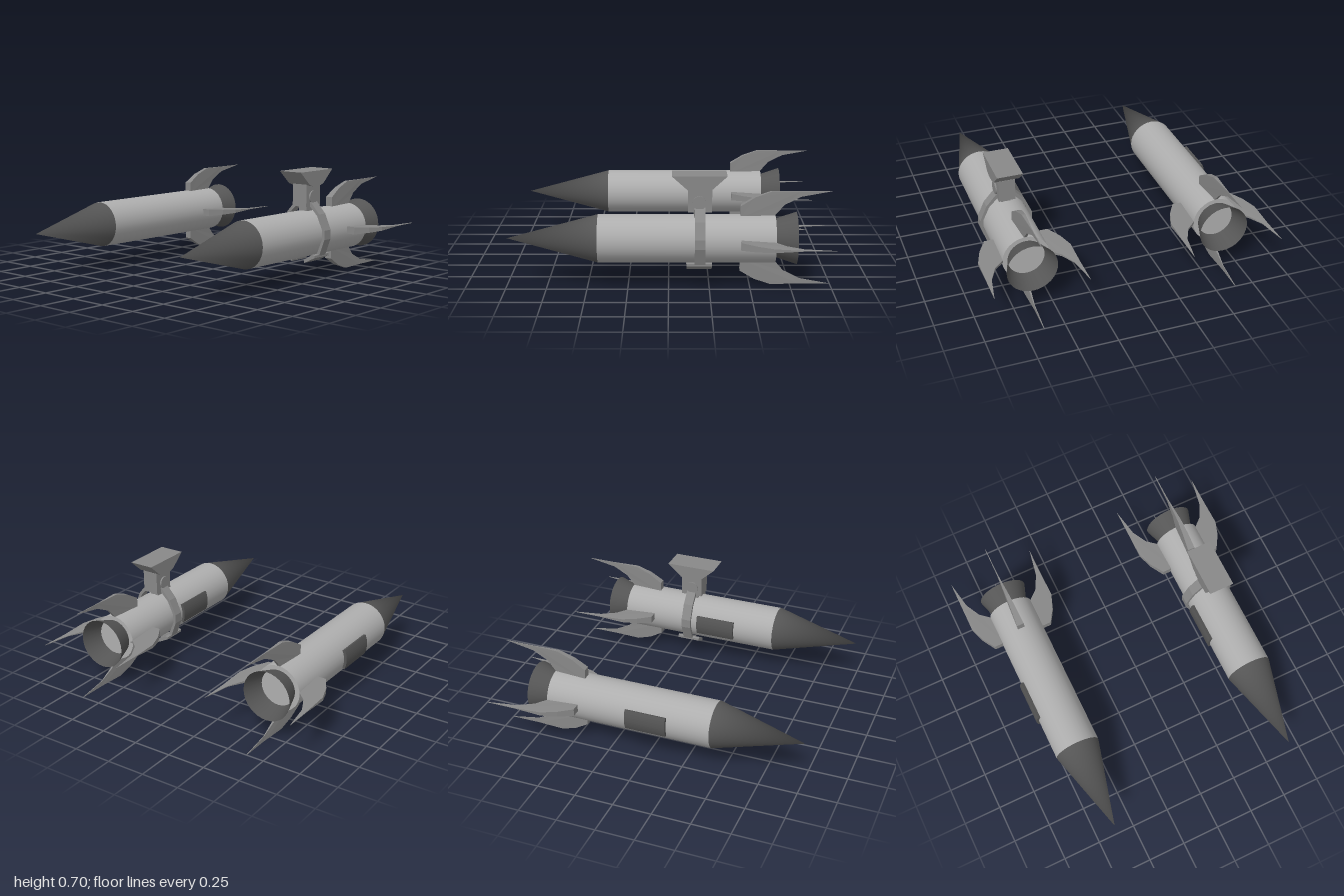
import * as THREE from 'three';

function material(color, flatShading = false) {
  return new THREE.MeshStandardMaterial({ color, side: THREE.DoubleSide, flatShading });
}
const shell = material(0xaeaeae);
const dark = material(0x555555);
const darkFlat = material(0x555555, true);
const metal = material(0x888888);
const metalFlat = material(0x888888, true);

function add(parent, name, geometry, mat) {
  const mesh = new THREE.Mesh(geometry, mat);
  mesh.name = name;
  parent.add(mesh);
  return mesh;
}

// Cylinder lying along z, from z0 (radius r0) forward to z1 (radius r1)
function tubeZ(r0, r1, z0, z1, open = false) {
  return new THREE.CylinderGeometry(r1, r0, z1 - z0, 32, 1, open)
    .rotateX(Math.PI / 2).translate(0, 0, (z0 + z1) / 2);
}

// Cone whose shading rounds off to face forward at the tip
function noseGeometry() {
  const g = tubeZ(0.15, 0, 0.435, 1, true);
  const { position, normal } = g.attributes;
  for (let i = 0; i < position.count; i++) {
    if (position.getZ(i) > 0.99) normal.setXYZ(i, 0, 0, 1);
  }
  return g;
}

// Outline in x/y, extruded from z0 to z1
function slab(points, z0, z1) {
  const shape = new THREE.Shape(points.map(([x, y]) => new THREE.Vector2(x, y)));
  return new THREE.ExtrudeGeometry(shape, { depth: z1 - z0, bevelEnabled: false }).translate(0, 0, z0);
}

// Swept-back fin standing on +y, thinning towards its trailing tip
function finGeometry() {
  const outline = [[-0.44, 0.13], [-0.44, 0.205], [-0.53, 0.26], [-0.63, 0.295], [-0.81, 0.295],
    [-1, 0.295], [-0.81, 0.26], [-0.71, 0.21], [-0.655, 0.148], [-0.655, 0.13]];
  const g = slab(outline, -1, 1);
  const p = g.attributes.position;
  for (let i = 0; i < p.count; i++) {
    const z = p.getX(i);
    const half = Math.max(0.002, 0.024 * (z + 0.81) / 0.37);
    p.setXYZ(i, p.getZ(i) * half, p.getY(i), z);
  }
  // swapping x and z mirrors the solid, so turn the triangles round
  for (let i = 0; i < p.count; i += 3) {
    const a = new THREE.Vector3().fromBufferAttribute(p, i);
    const b = new THREE.Vector3().fromBufferAttribute(p, i + 1);
    p.setXYZ(i, b.x, b.y, b.z);
    p.setXYZ(i + 1, a.x, a.y, a.z);
  }
  g.computeVertexNormals();
  return g;
}

// Curved cover plate hugging the -x flank
function panelGeometry() {
  const shape = new THREE.Shape();
  shape.absarc(0, 0, 0.168, Math.PI - 0.42, Math.PI + 0.42, false);
  shape.absarc(0, 0, 0.143, Math.PI + 0.42, Math.PI - 0.42, true);
  return new THREE.ExtrudeGeometry(shape, { depth: 0.27, bevelEnabled: false, curveSegments: 6 })
    .translate(0, 0, -0.115);
}

function makeRocket() {
  const rocket = new THREE.Group();
  rocket.name = 'rocket';
  add(rocket, 'body', tubeZ(0.15, 0.15, -0.655, 0.435).translate(0, -0.004, 0), shell);
  add(rocket, 'noseCone', noseGeometry().translate(0, -0.004, 0), dark);
  add(rocket, 'nozzle', tubeZ(0.162, 0.118, -0.787, -0.655, true), dark);
  add(rocket, 'sidePanel', panelGeometry(), darkFlat);
  const fin = finGeometry();
  for (let i = 0; i < 4; i++) add(rocket, 'fin', fin, metalFlat).rotation.z = i * Math.PI / 2;
  return rocket;
}

// Clamp with two arms, foot pads and a flared head above the body
function makeClamp() {
  const clamp = new THREE.Group();
  clamp.name = 'clamp';
  const arm = [[0.05, 0.205], [0.06, 0.205], [0.127, 0.13], [0.171, 0.03], [0.171, -0.03], [0.132, -0.135],
    [0.045, -0.178], [0.04, -0.16], [0.114, -0.122], [0.152, -0.03], [0.152, 0.03], [0.11, 0.12], [0.05, 0.18]];
  const pad = [[0.13, -0.13], [0.13, -0.145], [0.05, -0.185], [0.045, -0.165], [0.112, -0.125]];
  for (const side of [1, -1]) {
    const mirror = (pts) => pts.map(([x, y]) => [side * x, y]);
    add(clamp, 'arm', slab(mirror(arm), -0.224, -0.159), metalFlat);
    add(clamp, 'footPad', slab(mirror(pad), -0.265, -0.11), metalFlat);
  }
  add(clamp, 'post', new THREE.BoxGeometry(0.06, 0.06, 0.07).translate(0, 0.165, -0.19), metalFlat);
  add(clamp, 'mount', new THREE.BoxGeometry(0.108, 0.145, 0.146).translate(0, 0.247, -0.192), metalFlat);
  add(clamp, 'pivot', new THREE.CylinderGeometry(0.042, 0.042, 0.128, 16)
    .rotateZ(Math.PI / 2).translate(0, 0.235, -0.188), metal);
  // head: trapezium in z/y, turned to run across x
  const head = slab([[0.115, 0.32], [0.15, 0.308], [0.225, 0.308], [0.262, 0.32], [0.356, 0.405], [0.02, 0.405]],
    -0.083, 0.083).rotateY(Math.PI / 2);
  add(clamp, 'head', head, metalFlat);
  return clamp;
}

export function createModel() {
  const model = new THREE.Group();
  for (const side of [-1, 1]) {
    const rocket = makeRocket();
    rocket.position.set(side * 0.632, 0.295, 0);
    if (side > 0) rocket.add(makeClamp());
    model.add(rocket);
  }
  return model;
}
